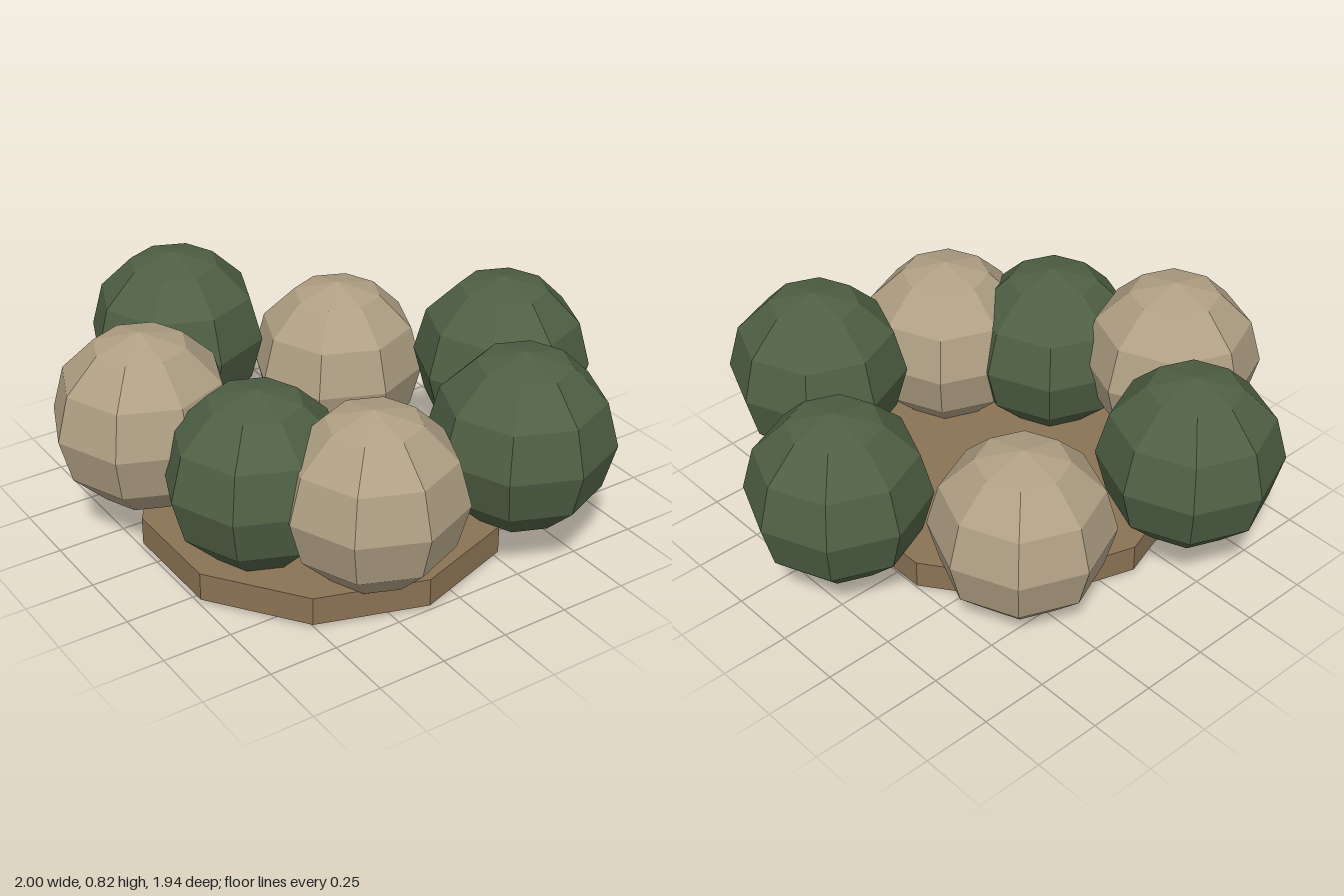
import * as THREE from 'three';

export function createModel() {
  const model = new THREE.Group();
  const material = (color) => new THREE.MeshStandardMaterial({ color, flatShading: true });
  const green = material(0x4f6044);
  const tan = material(0xb0a084);
  const wood = material(0x8b7355);

  // ten-sided slab
  const base = new THREE.Mesh(new THREE.CylinderGeometry(0.655, 0.655, 0.105, 10), wood);
  base.name = 'base';
  base.position.set(-0.12, 0.0675, 0.09);
  model.add(base);

  // ring of faceted balls resting around the slab
  const ball = new THREE.SphereGeometry(0.326, 8, 6);
  const balls = [
    ['greenBall', green, -0.285, 0.495, -0.645],
    ['tanBall', tan, 0.26, 0.328, -0.39],
    ['tanBall', tan, -0.674, 0.475, -0.185],
    ['greenBall', green, 0.674, 0.43, 0.08],
    ['greenBall', green, -0.49, 0.405, 0.255],
    ['tanBall', tan, -0.232, 0.397, 0.567],
    ['greenBall', green, 0.323, 0.475, 0.64],
  ];
  for (const [name, mat, x, y, z] of balls) {
    const mesh = new THREE.Mesh(ball, mat);
    mesh.name = name;
    mesh.position.set(x, y, z);
    model.add(mesh);
  }
  return model;
}
